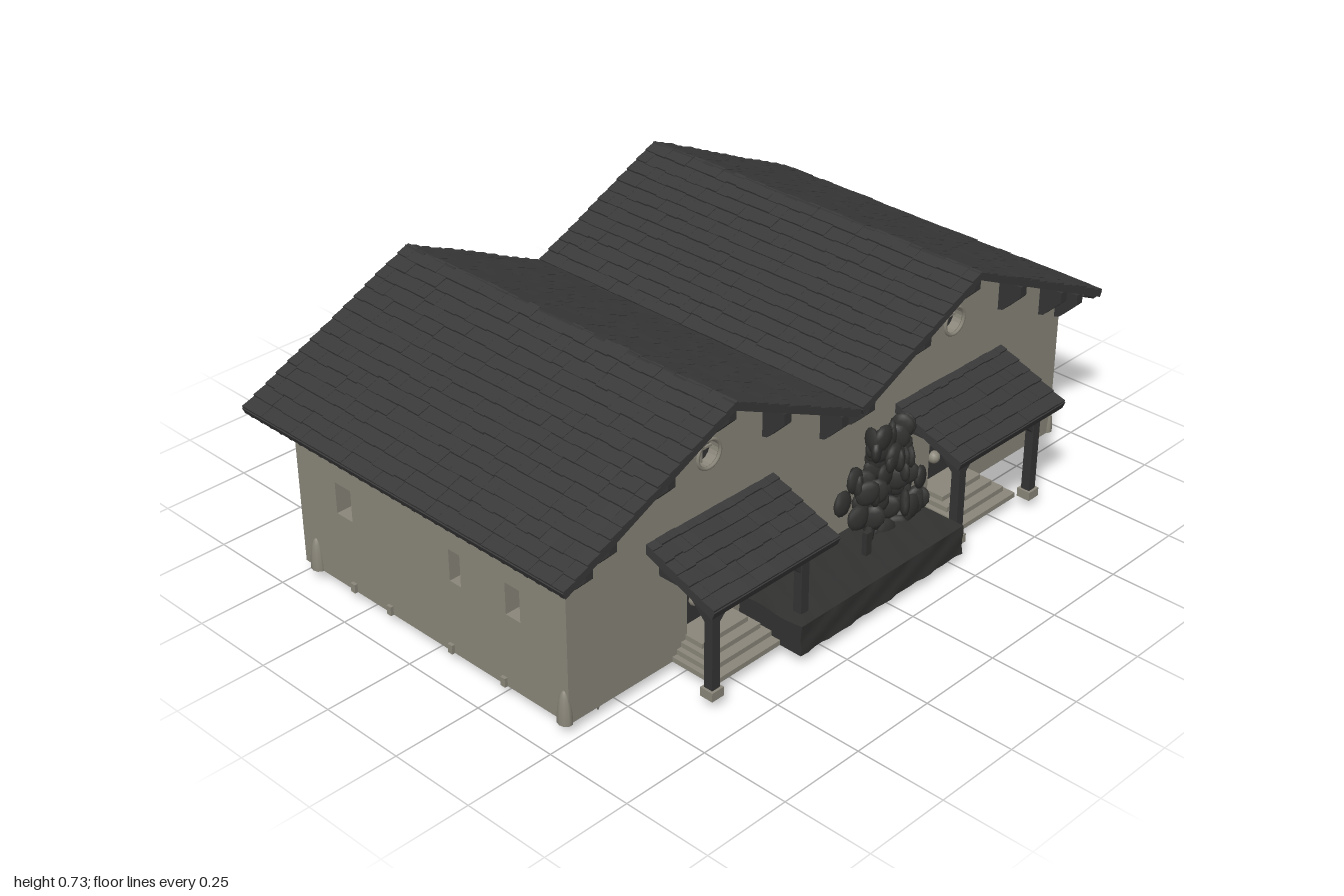
import * as THREE from 'three';
import { mergeGeometries } from 'three/addons/utils/BufferGeometryUtils.js';

export function createModel() {
  const model = new THREE.Group();
  const mat = (name, color) => {
    const m = new THREE.MeshStandardMaterial({ color });
    m.name = name;
    return m;
  };
  const plaster = mat('plaster', 0x8a867a);
  const tile = mat('roof tile', 0x393939);
  const wood = mat('dark wood', 0x343434);
  const plant = mat('dark planting', 0x323231);

  let seed = 7;
  const rnd = () => (seed = (seed * 16807) % 2147483647) / 2147483647;

  const add = (name, geo, material, x = 0, y = 0, z = 0, parent = model) => {
    const m = new THREE.Mesh(geo, material);
    m.name = name;
    m.position.set(x, y, z);
    parent.add(m);
    return m;
  };
  // box given by its lower and upper limits
  const block = (name, material, x0, x1, y0, y1, z0, z1, parent = model) =>
    add(name, new THREE.BoxGeometry(x1 - x0, y1 - y0, z1 - z0), material,
      (x0 + x1) / 2, (y0 + y1) / 2, (z0 + z1) / 2, parent);
  const shapeOf = (pts) => new THREE.Shape(pts.map(([x, y]) => new THREE.Vector2(x, y)));
  const extrude = (shape, depth) =>
    new THREE.ExtrudeGeometry(shape, { depth, bevelEnabled: false, curveSegments: 10 });
  const rectHole = (x0, x1, y0, y1) => new THREE.Path(
    [[x0, y0], [x0, y1], [x1, y1], [x1, y0]].map(([x, y]) => new THREE.Vector2(x, y)));

  // Tiled roof slope: local x runs downhill from the top edge, z along the eave
  function roofSlope(name, run, drop, width, thick, rows, cols, heading, pos, ends) {
    const len = Math.hypot(run, drop), parts = [];
    parts.push(new THREE.BoxGeometry(len, thick, width).translate(len / 2, -thick / 2 - 0.004, 0));
    const dx = len / rows, dz = width / cols;
    for (let i = 0; i < rows; i++) {
      for (let j = 0; j < cols; j++) {
        const g = new THREE.BoxGeometry(dx, 0.006, dz);
        g.rotateZ(0.08 + rnd() * 0.06);
        g.translate((i + 0.5) * dx - (i === rows - 1 ? 0.003 : rnd() * 0.005),
          -0.005 + rnd() * 0.003, (j + 0.5) * dz - width / 2);
        parts.push(g);
      }
    }
    // rounded tile ends under the eave
    if (ends) {
      for (let j = 0; j < cols; j++) {
        const g = new THREE.CylinderGeometry(0.009, 0.009, 0.06, 6).rotateZ(Math.PI / 2);
        parts.push(g.translate(len - 0.032, -thick - 0.006, (j + 0.5) * dz - width / 2));
      }
    }
    const m = add(name, mergeGeometries(parts), tile, ...pos);
    m.rotation.set(0, heading, -Math.atan2(drop, run), 'YZX');
  }

  // Main building core with twin gables
  const gable = (w, yw) => [[-w, 0.03], [w, 0.03], [w, yw], [0.45, 0.705], [0, 0.495], [-0.45, 0.705], [-w, yw]];
  add('buildingCore', extrude(shapeOf(gable(0.87, 0.508)), 0.94), plaster, 0, 0, -0.5);

  // Front wall with door openings and round vents
  const front = shapeOf(gable(0.92, 0.485));
  for (const s of [-1, 1]) {
    front.holes.push(rectHole(s * 0.455 - 0.075, s * 0.455 + 0.075, 0.08, 0.325));
    front.holes.push(new THREE.Path().absarc(s * 0.455, 0.56, 0.036, 0, Math.PI * 2, true));
  }
  add('frontWall', extrude(front, 0.04), plaster, 0, 0, 0.44);

  // Side walls with deep window openings
  const windows = [[0.298, 0.05, 0.285], [0.095, 0.04, 0.285], [-0.32, 0.06, 0.285]];
  for (const s of [-1, 1]) {
    const side = shapeOf([[-0.44, 0.03], [0.5, 0.03], [0.5, 0.485], [-0.44, 0.485]]);
    for (const [z, w] of windows) side.holes.push(rectHole(-z - w / 2, -z + w / 2, 0.24, 0.33));
    const wall = add('sideWall', extrude(side, 0.05), plaster, s > 0 ? 0.87 : -0.92);
    wall.rotation.y = Math.PI / 2;
    for (const [z, w, y] of windows) {
      block('windowPane', wood, s * 0.874 - 0.004, s * 0.874 + 0.004, y - 0.03, y + 0.04, z - w * 0.4, z + w * 0.4);
    }
    // drain stubs along the base
    for (const z of [0.26, 0.07, -0.16, -0.3])
      block('drainStub', plaster, s * 0.923 - 0.006, s * 0.923 + 0.006, 0.03, 0.055, z - 0.008, z + 0.008);
    // rounded guard stones at the corners
    for (const z of [-0.45, 0.465])
      add('guardStone', new THREE.SphereGeometry(1, 10, 8, 0, Math.PI * 2, 0, Math.PI / 2)
        .scale(0.018, 0.09, 0.022), plaster, s * 0.92, 0.03, z);
  }
  for (const [x, z] of [[-0.81, 0.46], [0.63, 0.45]])
    add('footing', new THREE.ConeGeometry(0.014, 0.035, 5).rotateX(Math.PI), plaster, x, 0.0175, z);

  // Main roof: two ridges meeting in a central valley
  for (const s of [-1, 1]) {
    const out = s > 0 ? 0 : Math.PI;
    roofSlope('outerRoofSlope', 0.55, 0.255, 1.16, 0.018, 15, 30, out, [s * 0.45, 0.731, -0.02], true);
    roofSlope('innerRoofSlope', 0.45, 0.209, 1.16, 0.018, 12, 30, Math.PI - out, [s * 0.45, 0.731, -0.02], false);
  }

  // Roof brackets on both gable ends
  const bracketShape = shapeOf([[0, 0], [0, -0.09], [0.02, -0.085], [0.075, -0.03], [0.075, 0]]);
  const bracketGeo = extrude(bracketShape, 0.024).translate(0, 0, -0.012);
  for (const s of [-1, 1]) {
    for (const x of [0.05, 0.26, 0.45, 0.65, 0.835, 0.91]) {
      const y = 0.705 - Math.abs(x - 0.45) * 0.464;
      for (const f of [-1, 1]) {
        const b = add('roofBracket', bracketGeo, wood, s * x, y, f > 0 ? 0.475 : -0.495);
        b.rotation.y = -f * Math.PI / 2;
      }
    }
  }

  // Rear annex with lean-to roof
  const annex = shapeOf([[0.49, 0.03], [0.66, 0.03], [0.66, 0.328], [0.49, 0.395]]);
  const annexMesh = add('rearAnnex', extrude(annex, 1.01), plaster, -0.38);
  annexMesh.rotation.y = Math.PI / 2;
  annexMesh.position.set(-0.38, 0, 0);
  annexMesh.scale.x = 1;
  roofSlope('annexRoof', 0.21, 0.085, 1.05, 0.016, 6, 30, Math.PI / 2, [0.125, 0.42, -0.49], true);

  // Entrances: door, vent, steps and timber porch, once per gable
  for (const s of [-1, 1]) {
    const c = s * 0.455;
    block('door', wood, c - 0.06, c + 0.06, 0.08, 0.32, 0.438, 0.446);
    for (const dx of [-0.028, 0.028])
      for (const y of [0.15, 0.25])
        block('doorPanel', wood, c + dx - 0.02, c + dx + 0.02, y - 0.035, y + 0.035, 0.446, 0.45);
    add('doorLantern', new THREE.SphereGeometry(0.018, 10, 8), plaster, c - 0.022, 0.15, 0.455);

    add('ventPanel', new THREE.CylinderGeometry(0.036, 0.036, 0.008, 20).rotateX(Math.PI / 2), wood, c, 0.56, 0.444);
    add('ventRing', new THREE.TorusGeometry(0.038, 0.005, 6, 24), plaster, c, 0.56, 0.48);
    block('ventBar', plaster, c - 0.003, c + 0.003, 0.525, 0.595, 0.45, 0.456);
    block('ventBar', plaster, c - 0.035, c + 0.035, 0.557, 0.563, 0.45, 0.456);

    for (let i = 0; i < 4; i++) {
      const w = 0.125 - i * 0.015;
      block('step', plaster, c - w, c + w, 0.03 + i * 0.014, 0.044 + i * 0.014, 0.47, 0.62 - i * 0.028);
    }
    for (const dx of [-0.155, 0.155]) {
      const x = c + dx;
      block('postBase', plaster, x - 0.02, x + 0.02, 0.03, 0.055, 0.62, 0.66);
      block('porchPost', wood, x - 0.013, x + 0.013, 0.05, 0.31, 0.627, 0.653);
      block('sideBeam', wood, x - 0.012, x + 0.012, 0.3, 0.325, 0.475, 0.67);
      // knee braces along the front and the side
      const front = block('frontBrace', wood, x - 0.009, x + 0.009, 0.225, 0.315, 0.631, 0.649);
      front.position.x -= Math.sign(dx) * 0.035;
      front.rotation.z = Math.sign(dx) * 0.78;
      const side = block('sideBrace', wood, x - 0.009, x + 0.009, 0.225, 0.315, 0.596, 0.614);
      side.rotation.x = -0.78;
    }
    block('frontBeam', wood, c - 0.185, c + 0.185, 0.302, 0.327, 0.627, 0.653);
    roofSlope('porchRoof', 0.235, 0.092, 0.435, 0.022, 6, 14, -Math.PI / 2, [s * 0.447, 0.415, 0.465], false);
  }

  // Rough planter between the porches
  const planterGeo = new THREE.BoxGeometry(0.62, 0.085, 0.205, 24, 4, 8);
  const p = planterGeo.attributes.position;
  for (let i = 0; i < p.count; i++) {
    const x = p.getX(i), y = p.getY(i), z = p.getZ(i);
    const n = Math.sin(x * 61 + z * 37) * Math.cos(y * 90 + x * 23);
    p.setXYZ(i, x, y > -0.04 ? y + n * 0.004 : y, z + n * 0.004);
  }
  planterGeo.computeVertexNormals();
  add('planter', planterGeo, plant, -0.04, 0.0725, 0.585);
  block('planterPeg', plant, -0.01, 0.01, 0.11, 0.18, 0.585, 0.6);

  // Shrub made of flattened pads, wider low down on its left
  const pads = [];
  for (let i = 0; i < 75; i++) {
    const t = i / 74, y = 0.09 + t * 0.305;
    const left = t < 0.2 ? 0.06 : t < 0.7 ? -0.015 : 0.065;
    const right = t < 0.4 ? 0.255 : 0.225 - (t - 0.4) * 0.05;
    const g = new THREE.IcosahedronGeometry(1, 1).scale(0.032, 0.038, 0.014);
    g.rotateZ((rnd() - 0.5) * 1.6);
    g.rotateY((rnd() - 0.5) * 2.4);
    pads.push(g.translate(left + rnd() * (right - left), y, 0.505 + rnd() * 0.06));
  }
  add('shrub', mergeGeometries(pads), plant);
  return model;
}
